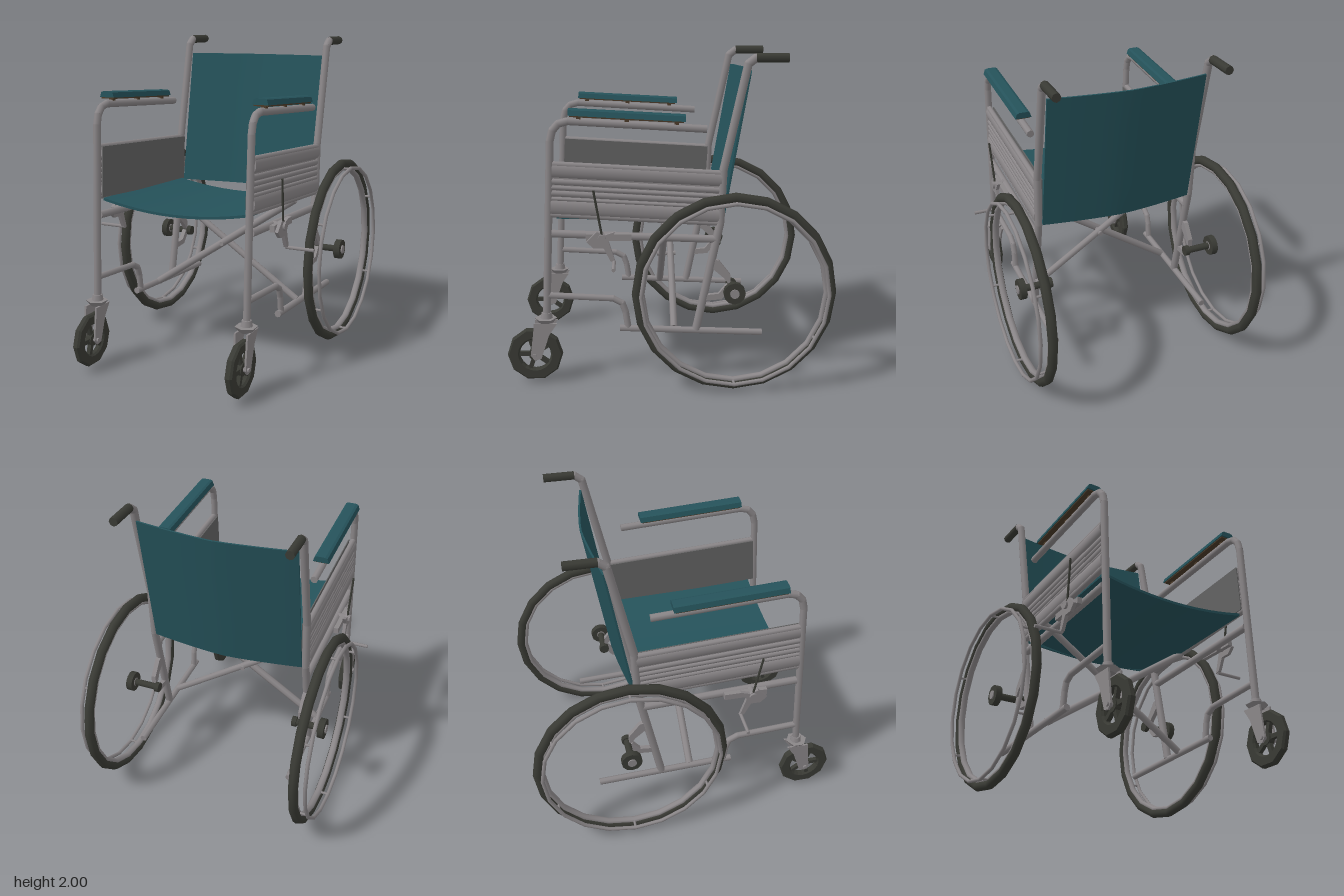
import * as THREE from 'three';
import { mergeGeometries } from 'three/addons/utils/BufferGeometryUtils.js';

const mat = (name, color, side = THREE.FrontSide) => {
  const m = new THREE.MeshStandardMaterial({ color, side });
  m.name = name;
  return m;
};

export function createModel() {
  const steel = mat('steel grey', 0x8a8688);
  const panelGrey = mat('inner panel grey', 0x626262);
  const teal = mat('teal vinyl', 0x25525a, THREE.DoubleSide);
  const rubber = mat('dark rubber', 0x393a34);
  const brown = mat('brown pad base', 0x4a3a28);

  const model = new THREE.Group();
  model.name = 'wheelchair';
  const V = (p) => new THREE.Vector3(...p);

  const add = (parent, name, geo, m, pos = [0, 0, 0], rot = [0, 0, 0]) => {
    const mesh = new THREE.Mesh(geo, m);
    mesh.name = name;
    mesh.position.set(...pos);
    mesh.rotation.set(...rot);
    parent.add(mesh);
    return mesh;
  };

  // Capped rods joined by round elbows
  const rod = (parent, name, pts, r, m = steel) => {
    const parts = [];
    const up = new THREE.Vector3(0, 1, 0);
    for (let i = 0; i + 1 < pts.length; i++) {
      const a = V(pts[i]), b = V(pts[i + 1]), d = b.clone().sub(a);
      const g = new THREE.CylinderGeometry(r, r, d.length(), 8);
      g.applyQuaternion(new THREE.Quaternion().setFromUnitVectors(up, d.normalize()));
      g.translate(...a.add(b).multiplyScalar(0.5).toArray());
      parts.push(g);
      if (i > 0) parts.push(new THREE.SphereGeometry(r, 8, 6).translate(...pts[i]));
    }
    return add(parent, name, mergeGeometries(parts), m);
  };

  // Flat plate outlined in (z, y), centred on x
  const plate = (parent, name, outline, x, t, m) => {
    const shape = new THREE.Shape(outline.map(([z, y]) => new THREE.Vector2(-z, y)));
    const g = new THREE.ExtrudeGeometry(shape, { depth: t, bevelEnabled: false });
    g.translate(0, 0, -t / 2).rotateY(Math.PI / 2);
    return add(parent, name, g, m, [x, 0, 0]);
  };

  // Sagging seat
  const seatGeo = new THREE.BoxGeometry(0.99, 0.016, 0.94, 12, 1, 4);
  const sp = seatGeo.attributes.position;
  for (let i = 0; i < sp.count; i++) {
    const u = sp.getX(i) / 0.495, z = sp.getZ(i) + 0.2;
    sp.setXYZ(i, sp.getX(i), sp.getY(i) + 1.02 + 0.03 * z - 0.055 * (1 - u * u), z);
  }
  seatGeo.computeVertexNormals();
  add(model, 'seat', seatGeo, teal);

  // Backrest leaning and bowing backward
  const backGeo = new THREE.BoxGeometry(0.98, 0.88, 0.012, 12, 4, 1);
  const bp = backGeo.attributes.position;
  for (let i = 0; i < bp.count; i++) {
    const u = Math.abs(bp.getX(i)) / 0.49, t = bp.getY(i) / 0.88 + 0.5;
    bp.setY(i, 1.0 + 0.88 * t);
    bp.setZ(i, bp.getZ(i) - 0.32 - 0.15 * t - 0.06 * (1 - u ** 1.4));
  }
  backGeo.computeVertexNormals();
  add(model, 'backrest', backGeo, teal);

  // Folding cross brace
  rod(model, 'crossBraceFront', [[-0.5, 0.34, 0.025], [0.5, 1.01, 0.025]], 0.024);
  rod(model, 'crossBraceRear', [[0.5, 0.34, -0.03], [-0.5, 1.01, -0.03]], 0.022);
  rod(model, 'crossBracePivot', [[0, 0.67, -0.065], [0, 0.67, 0.06]], 0.015);

  for (const s of [1, -1]) {
    const side = new THREE.Group();
    side.name = s > 0 ? 'leftSide' : 'rightSide';
    model.add(side);
    const X = s * 0.51;
    const at = (pts, x = X) => pts.map(([z, y]) => [x, y, z]);

    // Frame tubes
    rod(side, 'frontLegAndArmTube', at([[0.745, 0.4], [0.695, 1.5], [0.68, 1.56], [0.645, 1.6], [0.59, 1.615], [-0.22, 1.565]]), 0.023);
    rod(side, 'rearPost', at([[-0.165, 0.33], [-0.305, 1.0], [-0.32, 1.32], [-0.455, 1.94], [-0.5, 1.975], [-0.53, 1.975]]), 0.025);
    rod(side, 'handGrip', at([[-0.5, 1.975], [-0.69, 1.975]]), 0.027, rubber);
    rod(side, 'seatRail', at([[0.7, 0.945], [-0.29, 0.9]]), 0.024);
    rod(side, 'footTube', at([[0.73, 0.56], [0.34, 0.535], [0.285, 0.505], [0.265, 0.45], [0.25, 0.35]]), 0.02);
    rod(side, 'lowerRail', at([[0.3, 0.345], [-0.57, 0.305]]), 0.021);

    // Corrugated skirt panel with large rolls at the top and bottom
    const skirt = new THREE.Group();
    skirt.name = 'skirtPanel';
    skirt.position.set(X, 1.182, 0.195);
    skirt.rotation.x = -0.062;
    side.add(skirt);
    const rolls = [[0.115, 0.045], [0.048, 0.02], [0.012, 0.016], [-0.022, 0.02], [-0.055, 0.014], [-0.105, 0.05]];
    for (const [y, h] of rolls) {
      const g = new THREE.CylinderGeometry(1, 1, 1.0, 10).rotateX(Math.PI / 2);
      g.scale(h > 0.03 ? 0.026 : 0.018, h, 1);
      add(skirt, 'panelRoll', g, steel, [0, y, 0]);
    }
    add(skirt, 'panelSheet', new THREE.BoxGeometry(0.012, 0.31, 1.0), steel, [0, 0, 0]);
    add(skirt, 'panelLining', new THREE.BoxGeometry(0.006, 0.31, 1.0), panelGrey, [-s * 0.029, 0, 0]);
    for (const y of [0.15, -0.15])
      rod(skirt, 'panelEdgeTube', [[0, y, 0.5], [0, y, -0.51]], 0.019);

    // Armrest pad
    const pad = new THREE.Group();
    pad.name = 'armrest';
    pad.position.set(X, 1.65, 0.245);
    pad.rotation.x = -0.058;
    side.add(pad);
    const padShape = new THREE.Shape([[-0.05, -0.017], [0.05, -0.017], [0.04, 0.014], [0.025, 0.02], [-0.025, 0.02], [-0.04, 0.014]].map((p) => new THREE.Vector2(...p)));
    const padGeo = new THREE.ExtrudeGeometry(padShape, { depth: 0.68, bevelEnabled: false }).translate(0, 0, -0.34);
    add(pad, 'armrestPad', padGeo, teal);
    add(pad, 'armrestBase', new THREE.BoxGeometry(0.088, 0.008, 0.66), brown, [0, -0.021, 0]);
    for (const z of [-0.29, 0, 0.28])
      add(pad, 'armrestMount', new THREE.BoxGeometry(0.03, 0.03, 0.025), brown, [0, -0.035, z]);

    // Rear wheel: tyre, rim, push rim and hub
    const wheel = new THREE.Group();
    wheel.name = 'rearWheel';
    wheel.position.set(s * 0.66, 0.61, -0.38);
    side.add(wheel);
    const ring = (name, R, r, x, m, sx = 1) =>
      add(wheel, name, new THREE.TorusGeometry(R, r, 8, 20).scale(1, 1, sx).rotateY(Math.PI / 2), m, [x, 0, 0]);
    ring('rearTyre', 0.577, 0.03, 0, rubber);
    ring('wheelRim', 0.547, 0.016, 0, steel, 1.4);
    ring('pushRim', 0.553, 0.012, s * 0.065, steel);
    for (let i = 0; i < 6; i++) {
      const a = (i + 0.5) * Math.PI / 3, y = 0.548 * Math.sin(a), z = 0.548 * Math.cos(a);
      rod(wheel, 'pushRimSpacer', [[0, y, z], [s * 0.065, y, z]], 0.008);
    }
    const disc = (name, r, w, x, m) =>
      add(wheel, name, new THREE.CylinderGeometry(r, r, w, 12).rotateZ(Math.PI / 2), m, [x, 0, 0]);
    disc('hub', 0.065, 0.04, 0, rubber);
    disc('hubCap', 0.028, 0.05, s * 0.003, steel);
    disc('axle', 0.022, 0.18, -s * 0.1, rubber);
    disc('axleNut', 0.033, 0.03, -s * 0.182, rubber);

    // Axle bracket arms
    plate(side, 'upperAxleArm', [[-0.25, 0.78], [-0.3, 0.77], [-0.37, 0.68], [-0.37, 0.61], [-0.33, 0.66], [-0.25, 0.73]], X, 0.03, steel);
    plate(side, 'lowerAxleArm', [[-0.2, 0.55], [-0.3, 0.56], [-0.35, 0.62], [-0.38, 0.6], [-0.32, 0.525], [-0.2, 0.515]], X, 0.03, steel);

    // Parking brake
    rod(side, 'brakeMount', [[X, 0.93, 0.4], [s * 0.6, 0.93, 0.4]], 0.025);
    plate(side, 'brakePlate', [[0.49, 0.91], [0.43, 0.97], [0.38, 0.95], [0.32, 0.97], [0.36, 0.91], [0.32, 0.78], [0.35, 0.79], [0.39, 0.87], [0.45, 0.87]], s * 0.575, 0.022, steel);
    rod(side, 'brakeLever', [[s * 0.58, 0.95, 0.4], [s * 0.59, 1.22, 0.445]], 0.007, rubber);
    rod(side, 'brakeShoe', [[s * 0.57, 0.785, 0.33], [s * 0.75, 0.785, 0.33]], 0.011);
    add(side, 'brakeClamp', new THREE.BoxGeometry(0.03, 0.04, 0.27), steel, [s * 0.55, 0.93, 0.36]);

    // Front caster
    const caster = new THREE.Group();
    caster.name = 'frontCaster';
    caster.position.set(X, 0.187, 0.82);
    side.add(caster);
    const casterShape = new THREE.Shape().setFromPoints(Array.from({ length: 10 }, (_, i) =>
      new THREE.Vector2(Math.cos(i * Math.PI / 5), Math.sin(i * Math.PI / 5)).multiplyScalar(0.158)));
    casterShape.holes.push(new THREE.Path().absarc(0, 0, 0.105, 0, Math.PI * 2, true));
    const tyreGeo = new THREE.ExtrudeGeometry(casterShape, { depth: 0.022, bevelThickness: 0.012, bevelSize: 0.01, bevelSegments: 1, curveSegments: 10 });
    add(caster, 'casterTyre', tyreGeo.translate(0, 0, -0.011).rotateY(Math.PI / 2), rubber);
    for (let i = 0; i < 5; i++) {
      const g = new THREE.BoxGeometry(0.026, 0.12, 0.026).translate(0, 0.06, 0);
      add(caster, 'casterSpoke', g, rubber, [0, 0, 0], [i * Math.PI * 0.4 + 0.3, 0, 0]);
    }
    add(caster, 'casterHub', new THREE.CylinderGeometry(0.04, 0.04, 0.04, 10).rotateZ(Math.PI / 2), rubber);
    rod(caster, 'casterAxle', [[-0.055, 0, 0], [0.055, 0, 0]], 0.014);
    for (const k of [-1, 1])
      plate(caster, 'forkArm', [[-0.14, 0.205], [0.0, 0.205], [0.005, 0.15], [0.025, 0], [0.0, -0.03], [-0.04, -0.02], [-0.09, 0.13]], k * 0.038, 0.012, steel);
    add(caster, 'forkCrown', new THREE.CylinderGeometry(0.068, 0.045, 0.03, 6), steel, [0, 0.215, -0.07]);
    add(caster, 'forkStem', new THREE.CylinderGeometry(0.03, 0.04, 0.05, 8), steel, [0, 0.24, -0.075]);
  }
  return model;
}
